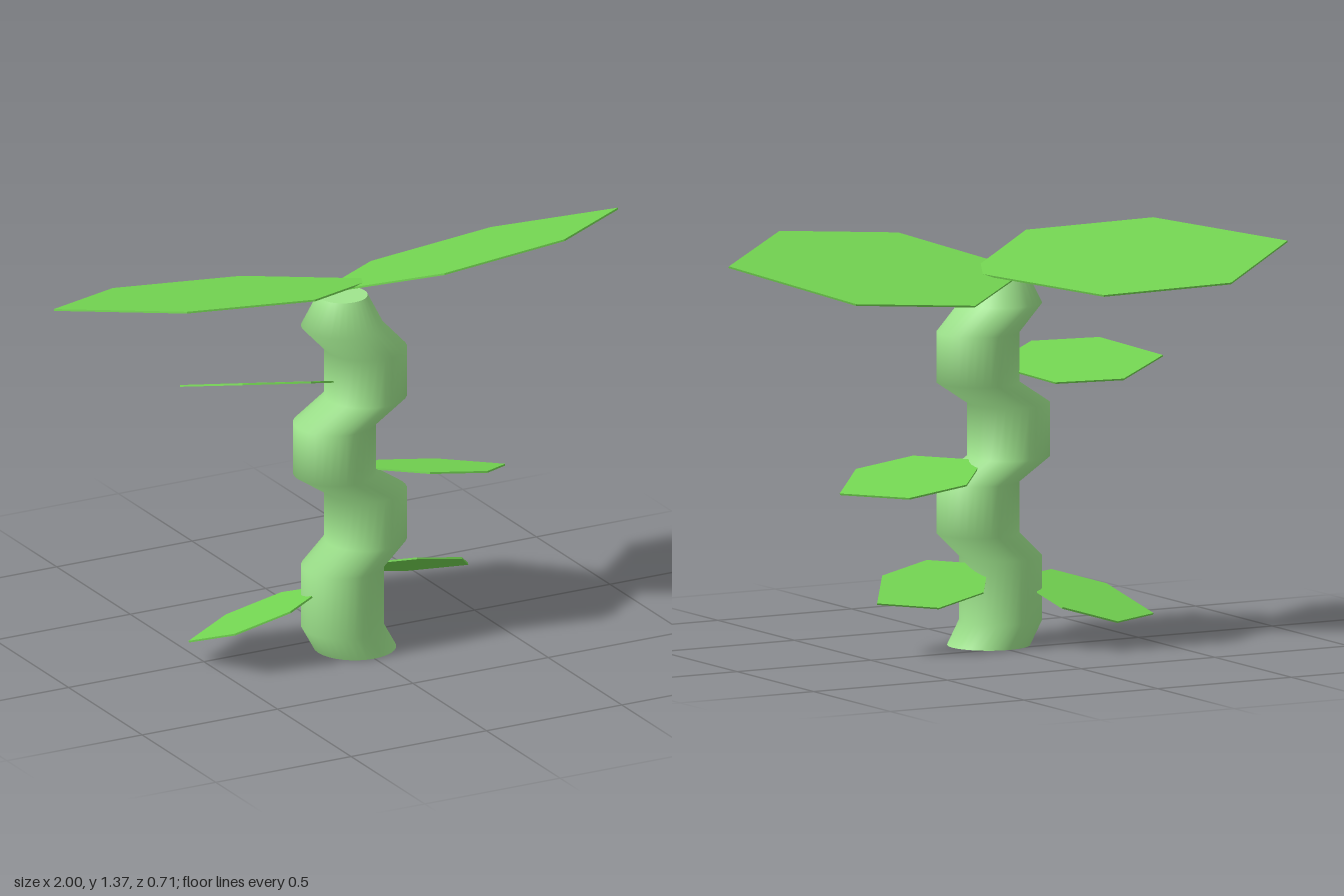
import * as THREE from 'three';
import { mergeVertices } from 'three/addons/utils/BufferGeometryUtils.js';

const stalkMaterial = new THREE.MeshStandardMaterial({ color: 0x9fe58d });
const leafMaterial = new THREE.MeshStandardMaterial({ color: 0x74d652, flatShading: true });

const STALK_Z = 0.105;
// Stalk rings from the ground up: [height, sideways shift, radius]
const RINGS = [
  [0, 0, 0.135], [0.08, -0.045, 0.135], [0.29, -0.045, 0.135], [0.37, 0.04, 0.135],
  [0.54, 0.04, 0.135], [0.615, -0.075, 0.135], [0.79, -0.075, 0.135], [0.865, 0.04, 0.135],
  [1.03, 0.04, 0.135], [1.12, -0.045, 0.135], [1.225, -0.045, 0.082],
];

// Zigzag tube: an open unit cylinder whose rings are shifted and scaled
function stalkGeometry() {
  const n = RINGS.length - 1;
  let geo = new THREE.CylinderGeometry(1, 1, n, 32, n, true);
  geo.deleteAttribute('uv');
  geo.deleteAttribute('normal');
  geo = mergeVertices(geo);
  const p = geo.attributes.position;
  for (let i = 0; i < p.count; i++) {
    const [y, x, r] = RINGS[Math.round(p.getY(i) + n / 2)];
    p.setXYZ(i, x + r * p.getX(i), y, STALK_Z + r * p.getZ(i));
  }
  geo.computeVertexNormals();
  return geo;
}

function stalkCap(name, [y, x, r], tilt) {
  const cap = new THREE.Mesh(new THREE.CircleGeometry(r, 32), stalkMaterial);
  cap.name = name;
  cap.rotation.x = tilt;
  cap.position.set(x, y, STALK_Z);
  return cap;
}

// Thin six-sided leaf from its centre, half length u and half width w
function leaf(name, centre, u, w) {
  const c = new THREE.Vector3(...centre);
  const U = new THREE.Vector3(...u);
  const W = new THREE.Vector3(...w);
  const half = new THREE.Vector3().crossVectors(U, W).setLength(0.003);
  if (half.y < 0) {
    W.negate();
    half.negate();
  }
  const outline = [[1, 0], [0.4, 1], [-0.4, 1], [-1, 0], [-0.4, -1], [0.4, -1]];
  const pos = [];
  for (const side of [1, -1]) {
    for (const [a, b] of outline) {
      const v = c.clone().addScaledVector(U, a).addScaledVector(W, b).addScaledVector(half, side);
      pos.push(v.x, v.y, v.z);
    }
  }
  const index = [];
  for (let i = 1; i < 5; i++) index.push(0, i, i + 1, 6, 7 + i, 6 + i);
  for (let i = 0; i < 6; i++) {
    const j = (i + 1) % 6;
    index.push(i, 6 + i, j, j, 6 + i, 6 + j);
  }
  let geo = new THREE.BufferGeometry();
  geo.setAttribute('position', new THREE.Float32BufferAttribute(pos, 3));
  geo.setIndex(index);
  geo = geo.toNonIndexed();
  geo.computeVertexNormals();
  const mesh = new THREE.Mesh(geo, leafMaterial);
  mesh.name = name;
  return mesh;
}

export function createModel() {
  const model = new THREE.Group();
  model.name = 'plant';

  // Stalk with closed ends
  const stalk = new THREE.Group();
  stalk.name = 'stalk';
  const tube = new THREE.Mesh(stalkGeometry(), stalkMaterial);
  tube.name = 'stalkTube';
  stalk.add(
    tube,
    stalkCap('stalkBottom', RINGS[0], Math.PI / 2),
    stalkCap('stalkTop', RINGS[RINGS.length - 1], -Math.PI / 2),
  );
  model.add(stalk);

  // Two large crown leaves and four small ones along the stalk
  model.add(
    leaf('rightCrownLeaf', [-0.45, 1.255, -0.023], [-0.55, 0.02, -0.077], [0.03, -0.065, -0.307]),
    leaf('leftCrownLeaf', [0.445, 1.272, 0.055], [0.555, 0.048, 0], [-0.025, 0.08, 0.295]),
    leaf('leftLowerLeaf', [0.24, 0.222, 0.05], [0.22, -0.045, -0.02], [0.05, 0.044, 0.098]),
    leaf('leftMiddleLeaf', [0.29, 0.57, 0.103], [0.26, -0.037, 0.013], [0.01, 0.028, 0.157]),
    leaf('rightLowerLeaf', [-0.318, 0.145, 0.035], [-0.232, -0.07, -0.045], [-0.075, 0.035, 0.168]),
    leaf('rightUpperLeaf', [-0.275, 0.925, 0.005], [-0.265, 0.008, -0.095], [-0.03, 0.049, 0.131]),
  );
  return model;
}
